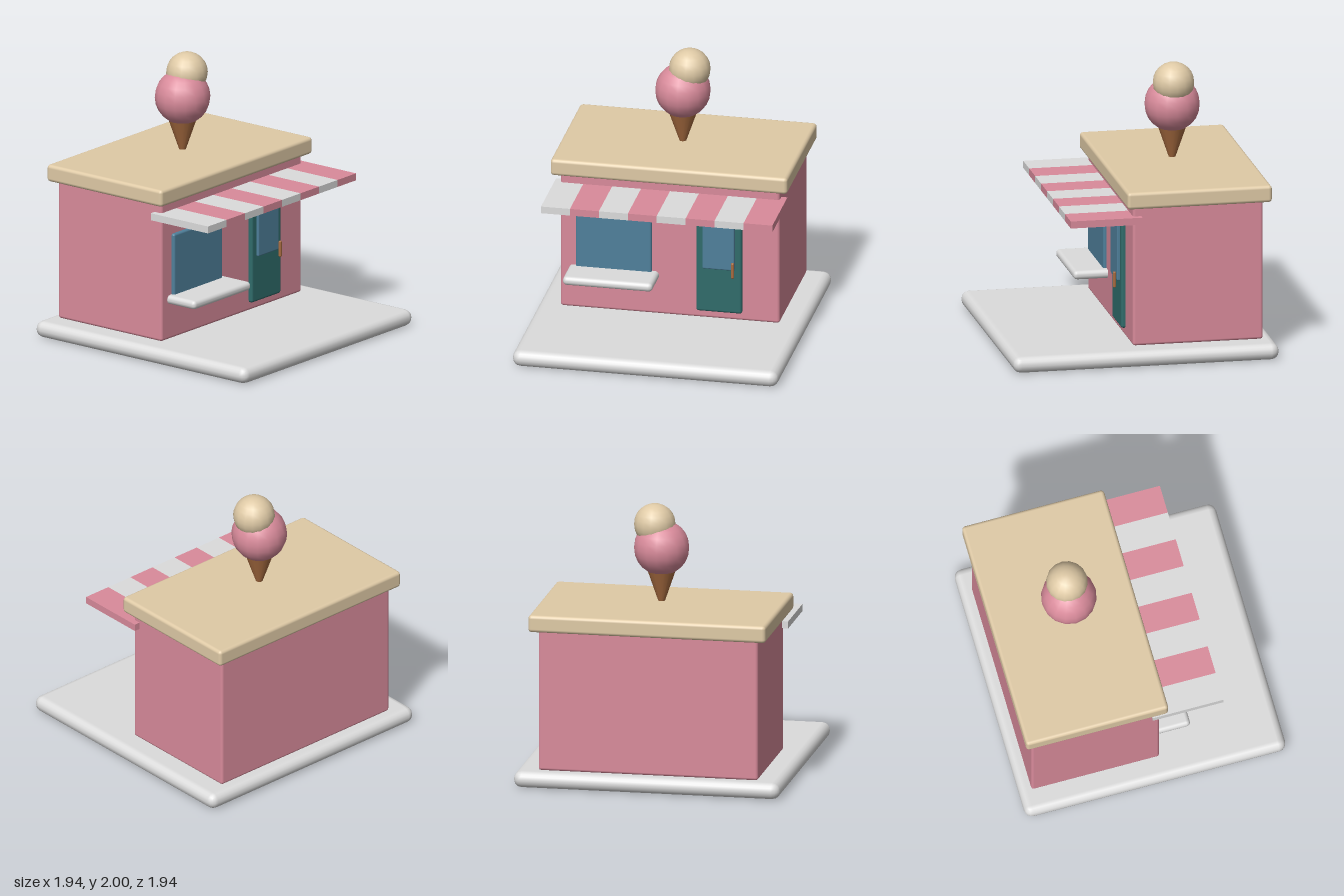
import * as THREE from 'three';
import { RoundedBoxGeometry } from 'three/addons/geometries/RoundedBoxGeometry.js';

const material = (name, color) => {
  const m = new THREE.MeshStandardMaterial({ color });
  m.name = name;
  return m;
};

export function createModel() {
  const pink = material('strawberryPink', 0xd98b9b);
  const cream = material('vanillaCream', 0xdfcaa6);
  const white = material('white', 0xdcdcdc);
  const teal = material('doorTeal', 0x2f6c6b);
  const glass = material('glassBlue', 0x4f809b);
  const brown = material('waferBrown', 0xa86c40);

  const shop = new THREE.Group();
  shop.name = 'iceCreamShop';

  const add = (name, geometry, mat, x = 0, y = 0, z = 0, parent = shop) => {
    const mesh = new THREE.Mesh(geometry, mat);
    mesh.name = name;
    mesh.position.set(x, y, z);
    parent.add(mesh);
    return mesh;
  };
  // Rounded box given by its extents on each axis
  const block = (name, mat, [x0, x1], [y0, y1], [z0, z1], radius, parent = shop) =>
    add(name, new RoundedBoxGeometry(x1 - x0, y1 - y0, z1 - z0, 2, radius), mat,
      (x0 + x1) / 2, (y0 + y1) / 2, (z0 + z1) / 2, parent);

  // Building shell
  block('base', white, [-0.97, 0.97], [0, 0.12], [-0.97, 0.97], 0.059);
  block('walls', pink, [-0.8, 0.8], [0.12, 1.17], [-0.88, 0.07], 0.02);
  block('roof', cream, [-0.865, 0.865], [1.145, 1.27], [-0.935, 0.12], 0.025);

  // Serving window and its counter
  block('window', glass, [-0.685, -0.13], [0.39, 0.9], [0.04, 0.095], 0.015);
  block('counter', white, [-0.735, -0.08], [0.385, 0.45], [0.03, 0.32], 0.03);

  // Door with pane and handle
  const door = new THREE.Group();
  door.name = 'door';
  shop.add(door);
  block('doorLeaf', teal, [0.195, 0.53], [0.18, 1.01], [0.04, 0.1], 0.018, door);
  block('doorPane', glass, [0.245, 0.48], [0.52, 0.945], [0.08, 0.12], 0.01, door);
  block('doorHandle', brown, [0.46, 0.482], [0.47, 0.59], [0.126, 0.148], 0.009, door);

  // Striped awning
  const awning = new THREE.Group();
  awning.name = 'awning';
  shop.add(awning);
  const count = 8, width = 1.69 / count;
  for (let i = 0; i < count; i++) {
    add('awningStripe', new THREE.BoxGeometry(width, 0.052, 0.525), i % 2 ? pink : white,
      (i - (count - 1) / 2) * width, 1.054, 0.27, awning);
  }

  // Rooftop ice cream cone
  const iceCream = new THREE.Group();
  iceCream.name = 'iceCream';
  iceCream.position.z = -0.38;
  shop.add(iceCream);
  add('cone', new THREE.CylinderGeometry(0.115, 0.025, 0.26, 16), brown, 0, 1.42, 0, iceCream);
  add('lowerScoop', new THREE.SphereGeometry(0.2, 16, 12), pink, 0, 1.68, 0, iceCream);
  add('upperScoop', new THREE.SphereGeometry(0.15, 16, 12), cream, 0.05, 1.85, 0, iceCream);

  return shop;
}
